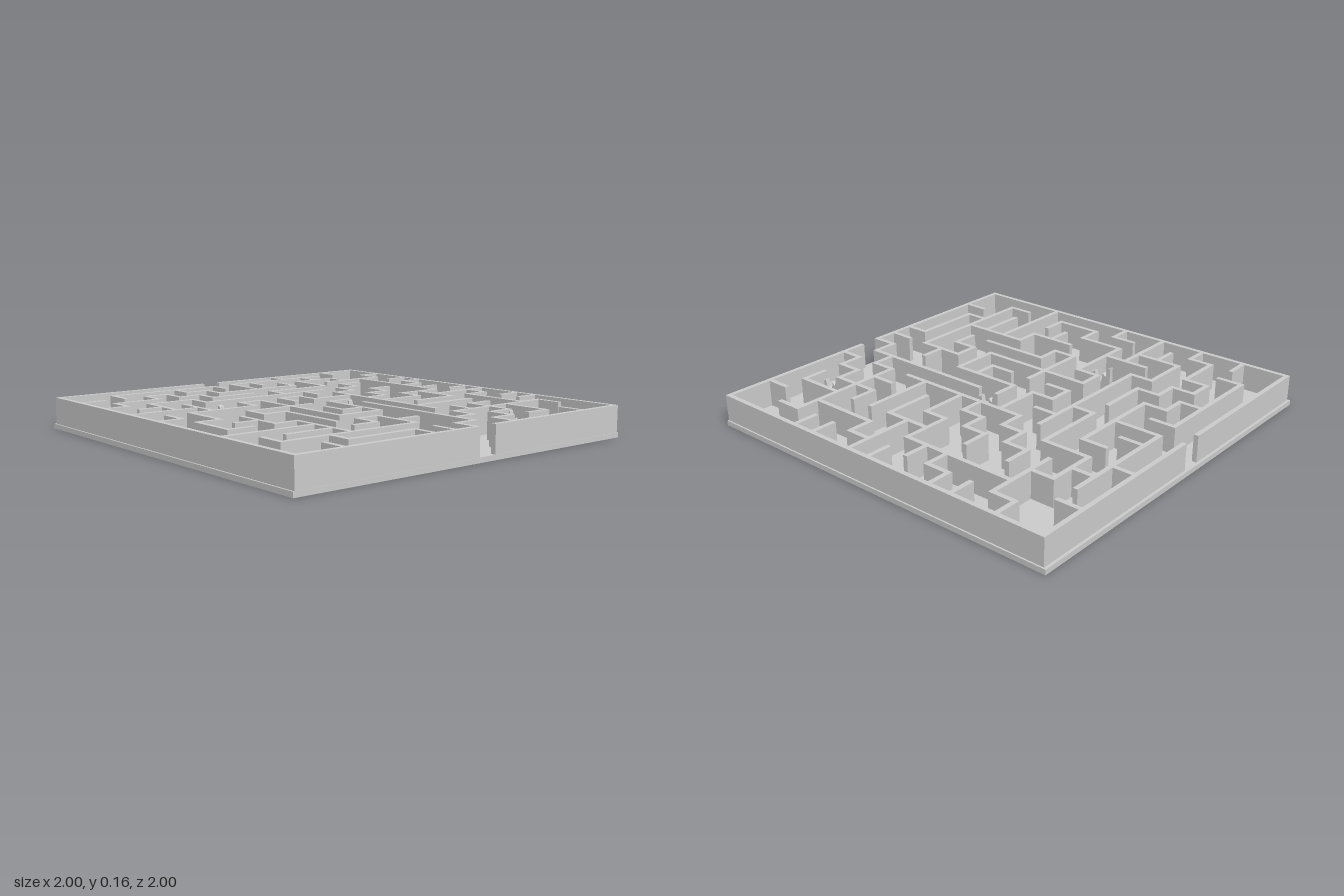
import * as THREE from 'three';

const PITCH = 0.1225, THICK = 0.024, FLOOR = 0.025, TOP = 0.16, Z_SHIFT = 0.006;
const HEIGHT = TOP - FLOOR;

// Wall runs along x, one string per grid line from back to front (start-end in cells)
const ROWS = [
  '0-7 8-16',
  '2-7 8-13',
  '0-1 3-4 5-6 11-13 15-16',
  '1-3 4-5 6-10 12-15',
  '0-1 2-4 5-7 8-11 12-13 15-16',
  '1-2 4-10 11-12 15-16',
  '0-3 5-6 7-8 10-11 12-13 14-15',
  '2-5 8-10 11-12 14-15',
  '0-1 4-7 8-9 10-11 12-14 15-16',
  '1-2 4-5 10-12 13-16',
  '2-3 7-8 11-13 14-15',
  '1-2 3-4 6-8 10-13 15-16',
  '0-4 6-7 12-13 15-16',
  '2-4 5-6 7-8 10-15',
  '1-7 9-10 11-12',
  '3-6 8-9 10-11 12-13',
  '0-8 9-16',
];

// Wall runs along z, one string per grid line from right to left of the model
const COLUMNS = [
  '0-16',
  '3-4 7-8 9-11 13-14',
  '1-2 4-6 7-9 15-16',
  '2-3 5-7 9-11 14-15',
  '2-3 4-5 8-9 11-14',
  '1-2 3-4 6-7 9-12',
  '2-3 6-11 12-13 15-16',
  '1-2 6-7 9-10 12-14 15-16',
  '1-3 4-5 6-7 8-11 15-16',
  '1-2 5-6 9-15',
  '2-3 6-12 13-14 15-16',
  '0-1 2-4 5-6 7-8 12-13 14-15',
  '1-2 4-5 6-7 8-9 12-14',
  '2-3 8-10 13-15',
  '0-1 3-8 10-13 15-16',
  '2-3 5-6 9-10 13-14',
  '0-16',
];

const at = (i) => (i - 8) * PITCH;

export function createModel() {
  const model = new THREE.Group();
  const material = new THREE.MeshStandardMaterial({ color: 0xcccccc, flatShading: true });

  const add = (name, geometry, parent, x, y, z) => {
    const mesh = new THREE.Mesh(geometry, material);
    mesh.name = name;
    mesh.position.set(x, y, z);
    parent.add(mesh);
    return mesh;
  };

  // Base slab
  add('base', new THREE.BoxGeometry(2, FLOOR, 2), model, 0, FLOOR / 2, 0);

  const walls = new THREE.Group();
  walls.name = 'walls';
  walls.position.z = Z_SHIFT;
  model.add(walls);

  // Straight maze walls
  const addRuns = (lines, alongX) => lines.forEach((line, k) => {
    for (const run of line.split(' ')) {
      const [a, b] = run.split('-').map(Number);
      const length = (b - a) * PITCH + THICK;
      const middle = at((a + b) / 2);
      const name = k === 0 || k === 16 ? 'outerWall' : 'innerWall';
      if (alongX) add(name, new THREE.BoxGeometry(length, HEIGHT, THICK), walls, middle, FLOOR + HEIGHT / 2, at(k));
      else add(name, new THREE.BoxGeometry(THICK, HEIGHT, length), walls, at(k), FLOOR + HEIGHT / 2, middle);
    }
  });
  addRuns(ROWS, true);
  addRuns(COLUMNS, false);

  // Crumbled wall sections: jagged profile of [position, height] as fractions
  const crumbled = [[0, 1], [0.14, 0.95], [0.22, 0.6], [0.36, 0.72], [0.45, 0.35],
    [0.58, 0.5], [0.66, 0.3], [0.78, 0.75], [0.88, 0.65], [1, 1]];
  const length = PITCH;
  const outline = new THREE.Shape();
  outline.moveTo(0, 0);
  for (const [s, h] of crumbled) outline.lineTo(s * length, h * HEIGHT);
  outline.lineTo(length, 0);
  const brokenGeometry = new THREE.ExtrudeGeometry(outline, { depth: THICK, bevelEnabled: false });
  brokenGeometry.translate(0, 0, -THICK / 2);
  brokenGeometry.rotateY(-Math.PI / 2);
  for (const [column, row] of [[4, 6], [9, 8], [12, 14]]) {
    add('brokenWall', brokenGeometry, walls, at(column), FLOOR, at(row));
  }

  return model;
}
